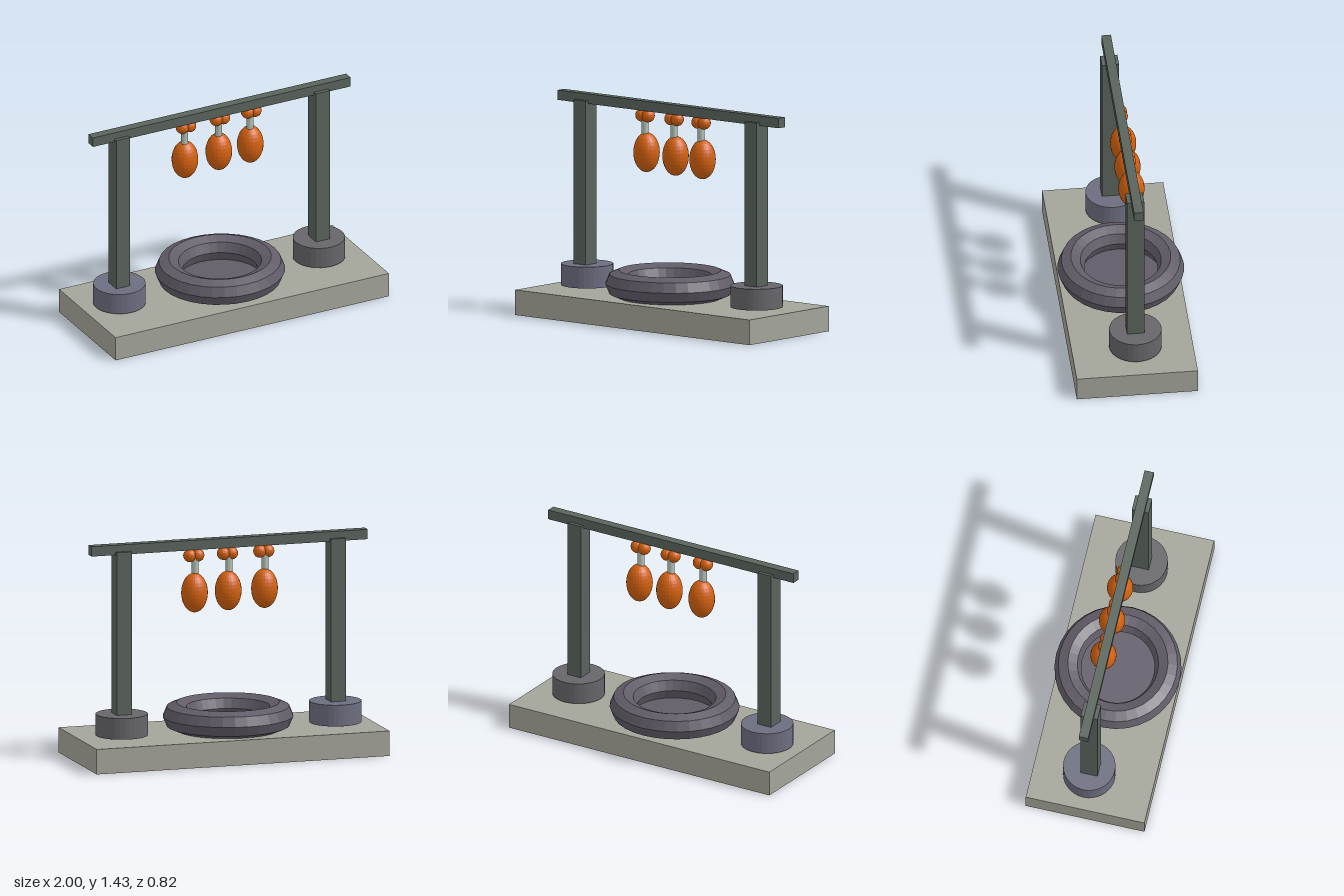
import * as THREE from 'three';

const paint = (color) => new THREE.MeshStandardMaterial({ color, flatShading: true });

const stone = paint(0xa3a499);
const timber = paint(0x5a635c);
const rubber = paint(0x625c68);
const orange = paint(0xd2600f);
const cord = paint(0xb2c0b4);

export function createModel() {
  const model = new THREE.Group();

  const add = (parent, name, geometry, material, x, y, z) => {
    const mesh = new THREE.Mesh(geometry, material);
    mesh.name = name;
    mesh.position.set(x, y, z);
    parent.add(mesh);
    return mesh;
  };

  // Plinth
  add(model, 'base', new THREE.BoxGeometry(2, 0.165, 0.79), stone, 0, 0.0825, 0.005);

  // Ring with a shallow floor inside it
  const ring = new THREE.Group();
  ring.name = 'ringBasin';
  ring.position.set(-0.025, 0, -0.003);
  ring.scale.z = 0.965;
  model.add(ring);
  const torus = new THREE.TorusGeometry(0.336, 0.09, 8, 32).rotateX(Math.PI / 2);
  add(ring, 'ring', torus, rubber, 0, 0.255, 0);
  add(ring, 'basinFloor', new THREE.CylinderGeometry(0.28, 0.28, 0.03, 32), rubber, 0, 0.178, 0);

  // Posts standing in round footings
  const posts = [
    { side: 'right', x: -0.75, z: -0.025, postX: -0.757, postZ: -0.013, color: 0x6c6e80 },
    { side: 'left', x: 0.705, z: -0.015, postX: 0.705, postZ: -0.012, color: 0x65656b },
  ];
  for (const { side, x, z, postX, postZ, color } of posts) {
    const footing = new THREE.CylinderGeometry(0.17, 0.17, 0.14, 32);
    add(model, `${side}Footing`, footing, paint(color), x, 0.245, z);
    const post = new THREE.BoxGeometry(0.102, 1.21, 0.112);
    add(model, `${side}Post`, post, timber, postX, 0.785, postZ);
  }

  // Crossbeam
  add(model, 'crossbeam', new THREE.BoxGeometry(1.885, 0.065, 0.062), timber, -0.0225, 1.4025, -0.014);

  // Hanging pods, each on a short cord with a pair of knots
  [-0.26, -0.012, 0.218].forEach((x, i) => {
    const pendant = new THREE.Group();
    pendant.name = `pendant${i + 1}`;
    pendant.position.x = x;
    model.add(pendant);

    const pod = add(pendant, 'pod', new THREE.SphereGeometry(1, 24, 16), orange, 0, 1.09, -0.045);
    pod.scale.set(0.087, 0.13, 0.085);
    add(pendant, 'cord', new THREE.CylinderGeometry(0.023, 0.023, 0.16, 12), cord, -0.007, 1.26, -0.037);
    for (const side of [-1, 1]) {
      const knot = new THREE.SphereGeometry(0.043, 16, 12);
      add(pendant, 'knot', knot, orange, side * 0.027, 1.333, -0.03);
    }
  });

  return model;
}
